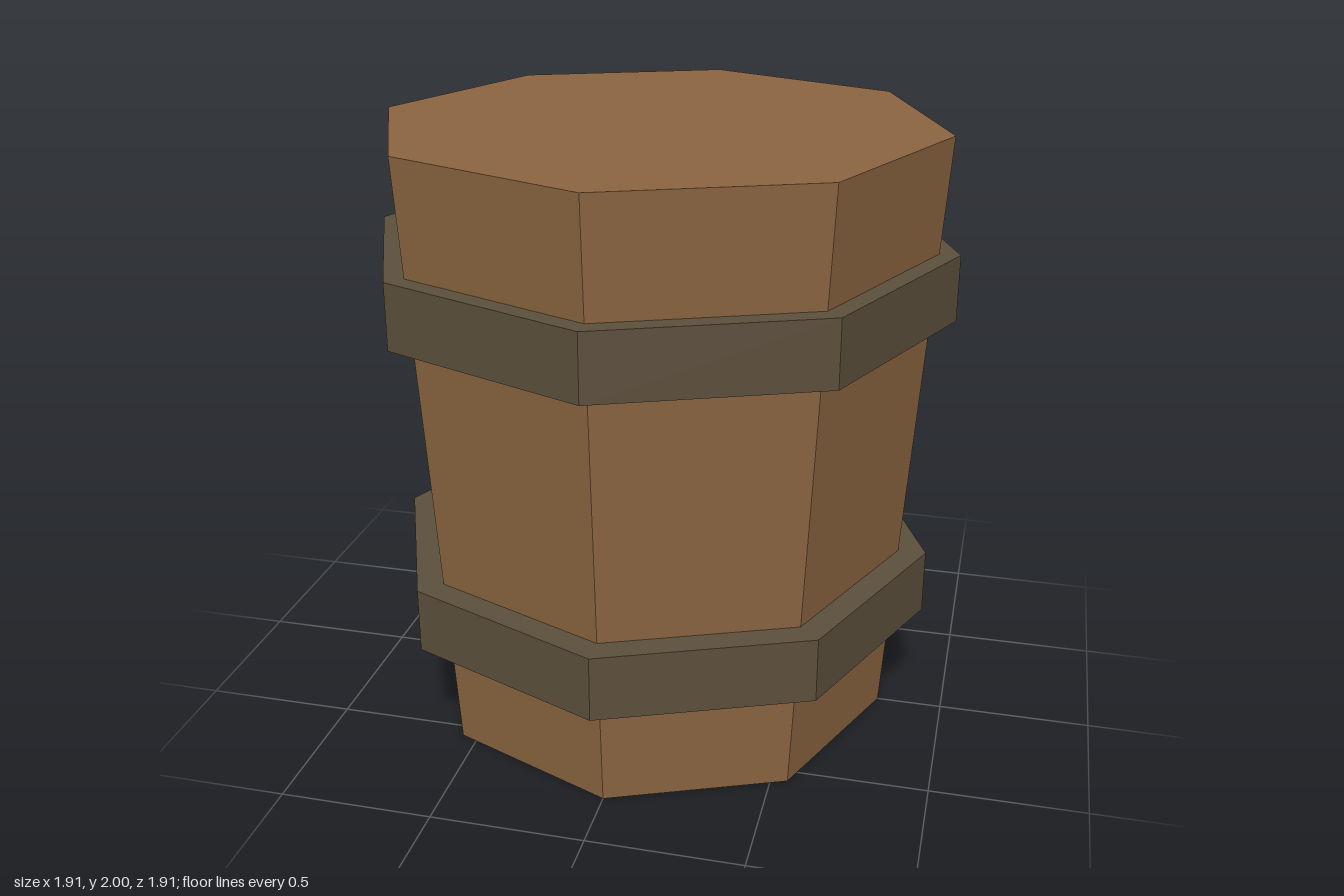
import * as THREE from 'three';

const SIDES = 8;

export function createModel() {
  const barrel = new THREE.Group();
  barrel.name = 'barrel';

  const wood = new THREE.MeshStandardMaterial({ color: 0x8b6540, flatShading: true });
  const iron = new THREE.MeshStandardMaterial({ color: 0x5c4f3c, flatShading: true });

  // Closed eight-sided drum spanning y0 to y1
  function addDrum(name, topRadius, bottomRadius, y0, y1, material) {
    const geometry = new THREE.CylinderGeometry(topRadius, bottomRadius, y1 - y0, SIDES);
    const mesh = new THREE.Mesh(geometry, material);
    mesh.name = name;
    mesh.position.y = (y0 + y1) / 2;
    barrel.add(mesh);
  }

  // Tapered wooden body, wider at the top
  addDrum('body', 0.913, 0.783, 0, 2, wood);

  // Straight hoops around the body
  addDrum('lowerHoop', 0.913, 0.913, 0.375, 0.59, iron);
  addDrum('upperHoop', 0.955, 0.955, 1.415, 1.63, iron);

  return barrel;
}
